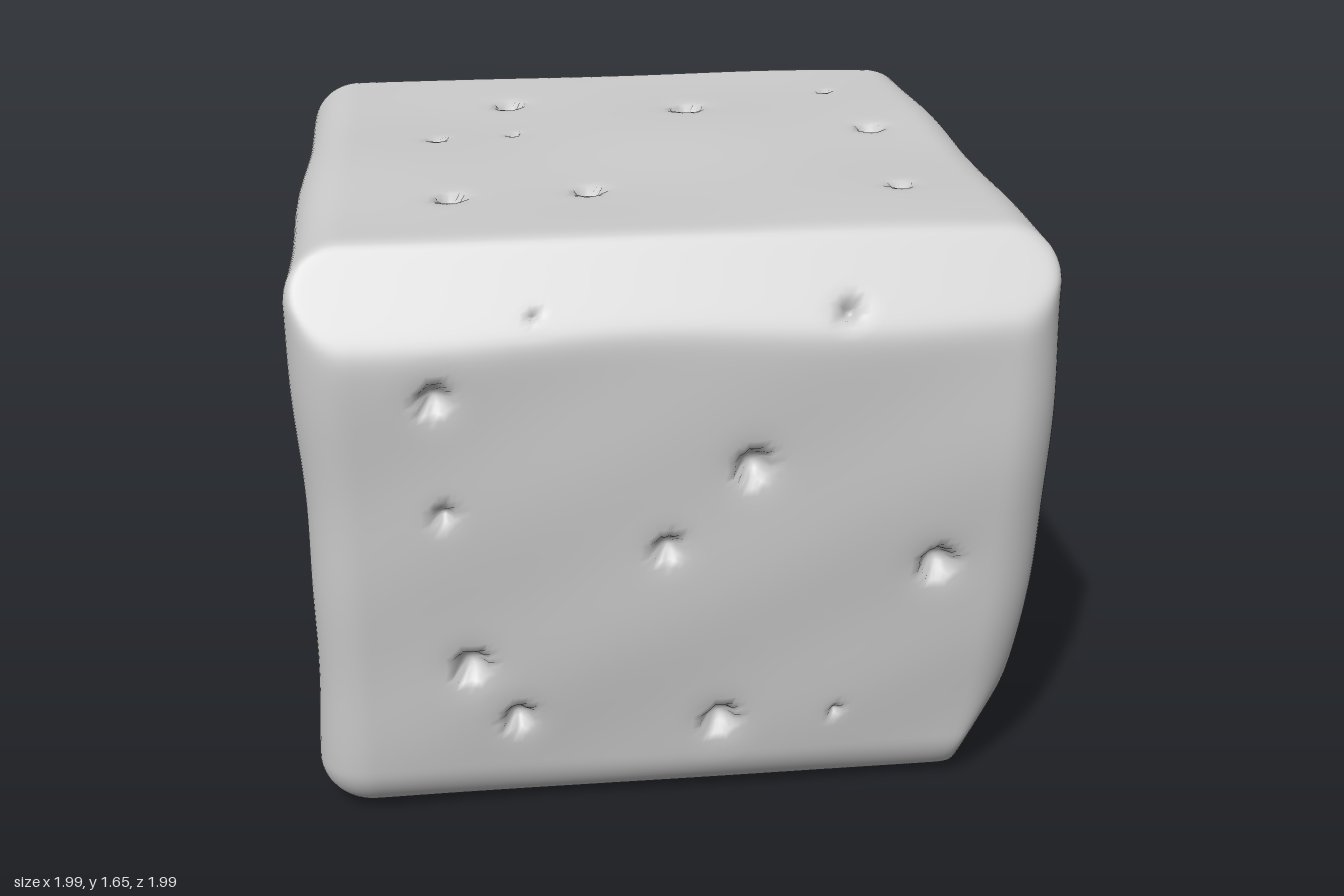
import * as THREE from 'three';
import { mergeVertices } from 'three/addons/utils/BufferGeometryUtils.js';

const HX = 1, HY = 0.82, HZ = 1, ROUND = 0.15;
const V = (x, y, z) => new THREE.Vector3(x, y, z);

// Pits per face: [across, along, radius]; side pits use height above the ground
const frontPits = [
  [-0.64, 1.27, 0.038], [-0.63, 0.945, 0.026], [-0.04, 0.82, 0.035], [0.18, 1.045, 0.045],
  [0.7, 0.735, 0.045], [-0.57, 0.48, 0.045], [-0.44, 0.305, 0.038], [0.13, 0.265, 0.043],
  [0.46, 0.275, 0.016], [-0.38, 1.505, 0.012], [0.42, 1.49, 0.026],
];
const backPits = [
  [0.77, 1.23, 0.03], [0.74, 0.93, 0.028], [0.06, 1.3, 0.038], [-0.59, 1.33, 0.026],
  [0.05, 0.82, 0.032], [-0.59, 0.98, 0.03], [0.75, 0.46, 0.043], [0.24, 0.24, 0.04],
  [-0.51, 0.45, 0.045], [-0.38, 0.23, 0.024],
];
const sidePits = [
  [0.67, 1.15, 0.048], [0.49, 1.265, 0.027], [-0.13, 1.31, 0.045], [-0.68, 1.24, 0.038],
  [-0.45, 0.95, 0.025], [0.43, 0.88, 0.015], [0.23, 0.515, 0.035], [-0.54, 0.485, 0.048],
  [-0.155, 0.25, 0.019],
];
const topPits = [
  [-0.37, -0.555, 0.036], [0.18, -0.425, 0.042], [0.65, -0.585, 0.016], [-0.6, -0.145, 0.02],
  [-0.37, -0.19, 0.016], [0.7, -0.14, 0.036], [-0.57, 0.455, 0.034], [-0.195, 0.405, 0.034],
  [0.65, 0.48, 0.028],
];
const bottomPits = [
  [0.74, -0.59, 0.018], [0.77, -0.1, 0.035], [0.2, -0.4, 0.045], [-0.4, -0.5, 0.04],
  [0.72, 0.6, 0.03], [0.48, 0.68, 0.02], [-0.68, 0, 0.025], [-0.22, 0.55, 0.038],
  [-0.63, 0.6, 0.035],
];

// Plane cuts that soften two edges of the block: normal and distance
const cuts = [
  [V(0, 0.563, 0.826), 1.614 - 0.82 * 0.563],
  [V(0.78, -0.4, 0.48), 1.318],
];

// Takes a point of the sharp box to the rounded, uneven block
function shape(p) {
  const inner = V(
    THREE.MathUtils.clamp(p.x, ROUND - HX, HX - ROUND),
    THREE.MathUtils.clamp(p.y, ROUND - HY, HY - ROUND),
    THREE.MathUtils.clamp(p.z, ROUND - HZ, HZ - ROUND));
  const dir = p.clone().sub(inner).normalize();
  const q = inner.addScaledVector(dir, ROUND);

  // uneven side faces
  const u = (q.x + 1) / 2, w = (q.z + 1) / 2, low = (1 - q.y / HY) / 2;
  const { lerp } = THREE.MathUtils;
  const right = lerp(0.95, 0.99 - 0.07 * low * low, w);
  const left = -1 + 0.02 * low + 0.04 * low * (1 - low);
  const front = 1 - lerp(0.11, 0.14, u) * low * low;
  const back = lerp(-0.93, -1, u) + 0.035 * low + 0.03 * low * (1 - low);
  const r = V(lerp(left, right, u), q.y, lerp(back, front, w));

  // soft waves, flat underneath
  const wave = 0.004 * (Math.sin(5 * r.x + 4 * r.y + 3) + Math.sin(7 * r.z - 5 * r.y + 2 * r.x)
    + 0.7 * Math.sin(11 * r.y - 6 * r.x + 4 * r.z));
  r.addScaledVector(V(dir.x, dir.y < 0 ? 0 : dir.y, dir.z), wave);

  // smoothly blended plane cuts
  for (const [n, d] of cuts) {
    const over = (r.dot(n) - d) / 0.012;
    r.addScaledVector(n, -0.012 * (over > 20 ? over : Math.log1p(Math.exp(over))));
  }
  return r;
}

// Pit record: place on the sharp box, centre and outward normal on the block
function makePit(axis, sign, a, b, radius) {
  const at = axis === 'x' ? V(sign * HX, b - HY, a)
    : axis === 'y' ? V(a, sign * HY, b) : V(a, b - HY, sign * HZ);
  const [s, t] = ['x', 'y', 'z'].filter((k) => k !== axis);
  const slope = (k) => {
    const p = at.clone(), m = at.clone();
    p[k] += 0.03;
    m[k] -= 0.03;
    return shape(p).sub(shape(m));
  };
  const normal = slope(s).cross(slope(t)).normalize();
  if (normal[axis] * sign < 0) normal.negate();
  return { axis, sign, at, radius, normal, centre: shape(at), reach: Math.max(3 * radius, 0.08) };
}

function createBlock() {
  const box = new THREE.BoxGeometry(2 * HX, 2 * HY, 2 * HZ, 112, 92, 112);
  box.deleteAttribute('uv');
  box.deleteAttribute('normal');
  const geometry = mergeVertices(box, 1e-4);
  const half = { x: HX, y: HY, z: HZ };

  const pits = [
    ['z', 1, frontPits], ['z', -1, backPits], ['x', 1, [...sidePits, [0.64, 0.32, 0.038]]],
    ['x', -1, sidePits], ['y', 1, topPits], ['y', -1, bottomPits],
  ].flatMap(([axis, sign, list]) => list.map((pit) => makePit(axis, sign, ...pit)));

  const pos = geometry.attributes.position;
  const p = V(0, 0, 0);
  for (let i = 0; i < pos.count; i++) {
    p.fromBufferAttribute(pos, i);
    const near = pits.filter((k) => Math.abs(p[k.axis] - k.sign * half[k.axis]) < 1e-4
      && p.distanceTo(k.at) < k.reach);
    // gather the grid towards each pit so that its rim is round
    for (const k of near) {
      const d = p.distanceTo(k.at);
      if (d < k.reach && d > 1e-6) {
        p.sub(k.at).multiplyScalar(Math.pow(d / k.reach, 0.7)).add(k.at);
      }
    }
    const q = shape(p);
    // round hollow with a shallow funnel around it
    for (const k of near) {
      const d = q.distanceTo(k.centre) / k.radius;
      const depth = Math.sqrt(Math.max(0, 1 - d * d)) + 0.35 * Math.exp(-d * d / 1.8);
      q.addScaledVector(k.normal, -depth * k.radius);
    }
    pos.setXYZ(i, q.x, q.y + HY, q.z);
  }
  geometry.computeVertexNormals();
  return geometry;
}

export function createModel() {
  const group = new THREE.Group();
  group.name = 'pittedBlock';
  const paleGrey = new THREE.MeshStandardMaterial({ color: 0xcccccc });
  paleGrey.name = 'paleGrey';
  const block = new THREE.Mesh(createBlock(), paleGrey);
  block.name = 'block';
  group.add(block);
  return group;
}
